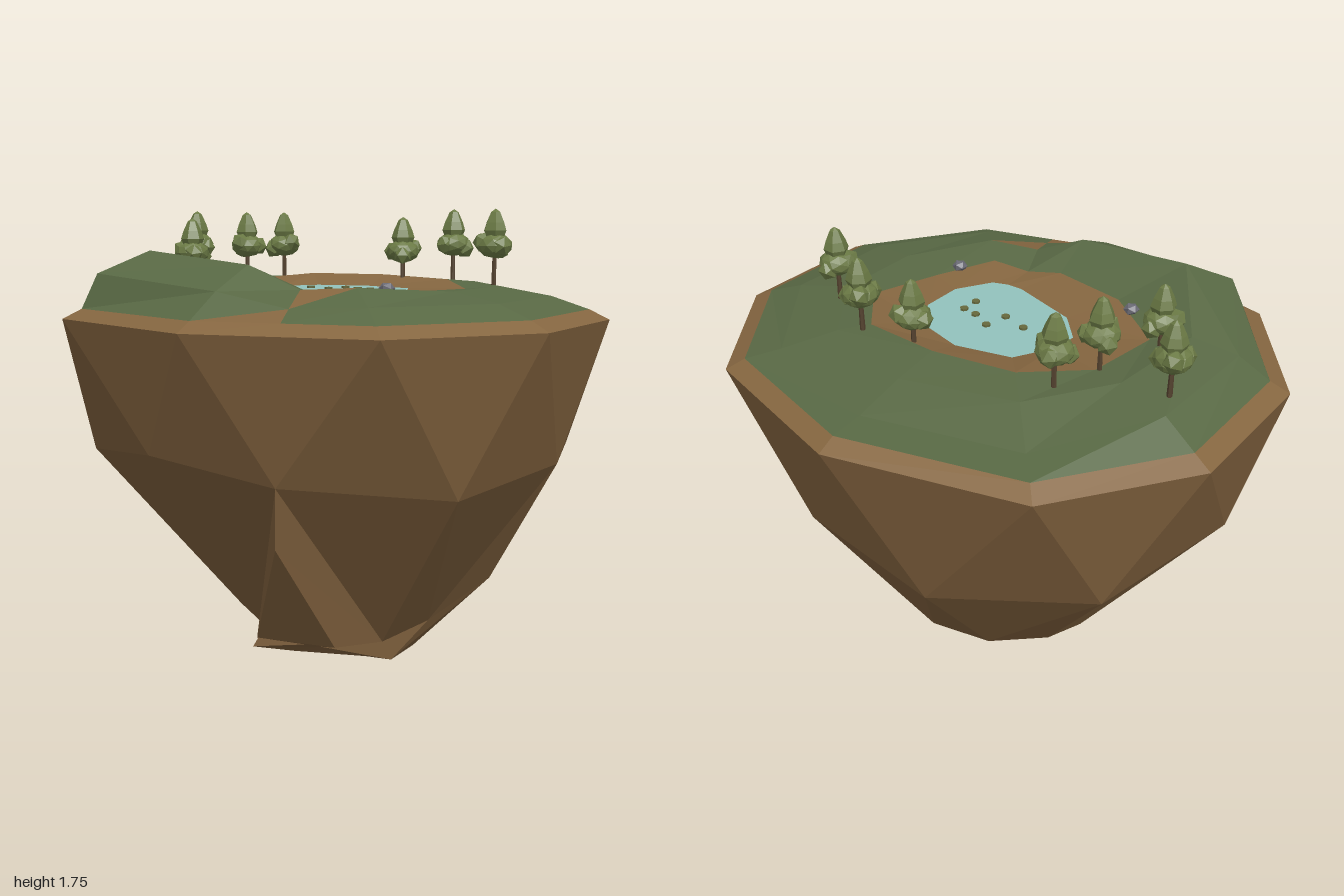
import * as THREE from 'three';

const mat = (color) => new THREE.MeshStandardMaterial({ color, flatShading: true, roughness: 1 });
const ROCK = mat(0x7a5c3a), DIRT = mat(0x856640), GRASS = mat(0x586844), WATER = mat(0x92c2bc);
const LEAF = mat(0x6b7a45), BARK = mat(0x54422f), STONE = mat(0x6a6a74), LILY = mat(0x66683c);

// Triangles joining two rings of equal length; rings run from +x towards +z
const band = (lower, upper) => {
  const tris = [];
  lower.forEach((_, i) => {
    const j = (i + 1) % lower.length;
    tris.push([lower[j], lower[i], upper[i]], [lower[j], upper[i], upper[j]]);
  });
  return tris;
};

function surface(name, tris, material) {
  const g = new THREE.BufferGeometry();
  g.setAttribute('position', new THREE.Float32BufferAttribute(tris.flat(2), 3));
  g.computeVertexNormals();
  const m = new THREE.Mesh(g, material);
  m.name = name;
  return m;
}

// Outline of the island, ten corners
const RIM = [[1, 0.28], [0.66, 0.75], [0.03, 0.93], [-0.66, 0.75], [-1, 0.28],
  [-1, -0.29], [-0.66, -0.75], [0.03, -0.93], [0.66, -0.75], [1, -0.29]];

// Hanging rock: faceted rings narrowing to two lumps underneath, with a wedge in front
function rockBody(group) {
  const rim = RIM.map(([x, z]) => [x, 1.36, z]);
  const waist = [[0.92, 0.87, -0.04], [0.78, 0.82, 0.45], [0.28, 0.86, 0.76], [-0.25, 0.91, 0.77],
    [-0.77, 0.83, 0.5], [-0.95, 0.95, 0], [-0.77, 0.85, -0.5], [-0.21, 0.75, -0.74],
    [0.3, 0.87, -0.75], [0.79, 0.86, -0.47]];
  const foot = [[0.64, 0.38, -0.12], [0.46, 0.22, 0.03], [0.36, 0.17, 0.2], [-0.13, 0.17, 0.24],
    [-0.35, 0.16, 0.13], [-0.39, 0.16, 0], [-0.34, 0.18, -0.16], [-0.16, 0.18, -0.32],
    [0, 0.3, -0.465], [0.4, 0.18, -0.27]];
  const base = [[0.33, 0.05, -0.1], [0.33, 0.05, 0.08], [0.04, 0.06, 0.14], [-0.18, 0.06, 0.28],
    [-0.26, 0.06, 0.08], [-0.28, 0.09, 0], [-0.2, 0.09, -0.1], [-0.05, 0.08, -0.2],
    [0.1, 0.09, -0.25], [0.25, 0.09, -0.22]];
  const lumpL = [0.17, 0, 0], lumpR = [-0.09, 0.01, 0.13];
  const lumps = base.map((p, i) => [i > 1 && i < 7 ? lumpR : lumpL, p, base[(i + 1) % base.length]]);
  lumps.push([lumpL, base[2], lumpR], [lumpR, base[7], lumpL]);
  group.add(surface('rockBody', [...band(waist, rim), ...band(foot, waist), ...band(base, foot), ...lumps], ROCK));

  const top = waist[2], right = foot[2], left = foot[3], under = base[2];
  const nose = [0.27, 0.65, 0.75], toeL = [0.02, 0.22, 0.52], toeR = [0.31, 0.22, 0.45];
  group.add(surface('rockWedge', [[top, left, toeL], [top, toeL, nose], [nose, toeL, toeR],
    [nose, toeR, right], [top, nose, right],
    [toeL, left, under], [toeL, under, toeR], [toeR, under, right]], ROCK));
}

// Ground: shrunken copies of the outline with a height at each spoke
function ground(group) {
  const spokes = [...RIM.slice(0, 2), [0.345, 0.84], ...RIM.slice(2)];
  const ring = (ts, ys) => spokes.map(([x, z], i) => {
    const t = ts[i] ?? ts[0];
    return [x * t, ys[i] ?? ys[0], z * t];
  });
  const edge = ring([1], [1.36]);
  const lip = ring([0.93], [1.395]);
  const outer = ring([0.8, 0.8, 0.8, 0.78, 0.87, 0.82],
    [1.44, 1.44, 1.43, 1.48, 1.52, 1.47, 1.46, 1.41, 1.41, 1.42, 1.44]);
  const middle = ring([0.6, 0.6, 0.6, 0.58, 0.68, 0.66],
    [1.47, 1.49, 1.48, 1.56, 1.6, 1.51, 1.48, 1.47, 1.46, 1.47, 1.47]);
  const inner = ring([0.41, 0.45, 0.42, 0.41, 0.43, 0.52, 0.48, 0.45, 0.42, 0.48, 0.5],
    [1.46, 1.47, 1.46, 1.48, 1.48, 1.47, 1.47, 1.49, 1.49, 1.48, 1.46]);
  const shore = [[0.29, 0.08], [0.21, 0.21], [0.15, 0.23], [0.09, 0.23], [-0.18, 0.14], [-0.28, 0.03],
    [-0.27, -0.07], [-0.19, -0.21], [0.02, -0.26], [0.23, -0.2], [0.29, -0.08]].map(([x, z]) => [x, 1.45, z]);

  // bare path on the slope beside the hill
  const slope = [band(lip, outer), band(outer, middle), band(middle, inner)];
  const bare = (k, b) => (b === 0 && k === 4) || (b === 1 && k === 3);
  const grass = slope.flatMap((tris, b) => tris.filter((_, k) => !bare(k, b)));
  const path = slope.flatMap((tris, b) => tris.filter((_, k) => bare(k, b)));
  const lake = shore.map((p, i) => [shore[(i + 1) % shore.length], p, [0.02, 1.45, 0]]);
  group.add(surface('rim', band(edge, lip), DIRT), surface('grass', grass, GRASS),
    surface('path', path, DIRT), surface('shore', band(inner, shore), DIRT),
    surface('lake', lake, WATER));
}

// Tree: thin trunk, leafy skirt with clumps and a pointed crown; origin at the tip
function tree(x, top, z, turn) {
  const g = new THREE.Group();
  g.name = 'tree';
  const add = (name, geo, material, px, py, pz) => {
    const m = new THREE.Mesh(geo, material);
    m.name = name;
    m.position.set(px, py, pz);
    g.add(m);
    return m;
  };
  add('trunk', new THREE.CylinderGeometry(0.007, 0.01, 0.18, 6), BARK, 0, -0.19, 0);
  const profile = [[0, -0.14], [0.034, -0.11], [0.046, -0.08], [0.036, -0.05], [0.018, -0.012], [0, 0]];
  add('crown', new THREE.LatheGeometry(profile.map(([r, y]) => new THREE.Vector2(r, y)), 6), LEAF, 0, 0, 0);
  add('skirt', new THREE.IcosahedronGeometry(0.066, 1), LEAF, 0, -0.135, 0).scale.y = 0.7;
  for (let i = 0; i < 3; i++) {
    const a = i * Math.PI / 1.5;
    const clump = add('leafClump', new THREE.IcosahedronGeometry(0.038, 0), LEAF,
      Math.cos(a) * 0.045, -0.15 + i * 0.014, Math.sin(a) * 0.045);
    clump.rotation.set(i, a, 0);
  }
  g.position.set(x, top, z);
  g.rotation.y = turn;
  return g;
}

export function createModel() {
  const model = new THREE.Group();
  model.name = 'floatingIsland';
  rockBody(model);
  ground(model);

  [[-0.76, 1.745, -0.14], [-0.58, 1.715, 0.11], [-0.49, 1.74, -0.13], [-0.43, 1.74, -0.31],
    [0.11, 1.72, -0.37], [0.32, 1.75, -0.4], [0.56, 1.75, -0.26]]
    .forEach(([x, y, z], i) => model.add(tree(x, y, z, i * 1.3)));

  // Lily pads on the water
  for (const [x, z] of [[-0.1, -0.02], [0, 0.01], [0.02, -0.08], [0.1, -0.04], [0.16, -0.03], [0.16, 0.04]]) {
    const pad = new THREE.Mesh(new THREE.CylinderGeometry(0.016, 0.016, 0.008, 7), LILY);
    pad.name = 'lilyPad';
    pad.position.set(x, 1.454, z);
    model.add(pad);
  }

  // Boulders by the shore
  for (const [x, y, z] of [[-0.37, 1.49, 0.27], [0.37, 1.475, 0.21]]) {
    const boulder = new THREE.Mesh(new THREE.IcosahedronGeometry(0.03, 0), STONE);
    boulder.name = 'boulder';
    boulder.position.set(x, y, z);
    boulder.scale.y = 0.75;
    model.add(boulder);
  }
  return model;
}
